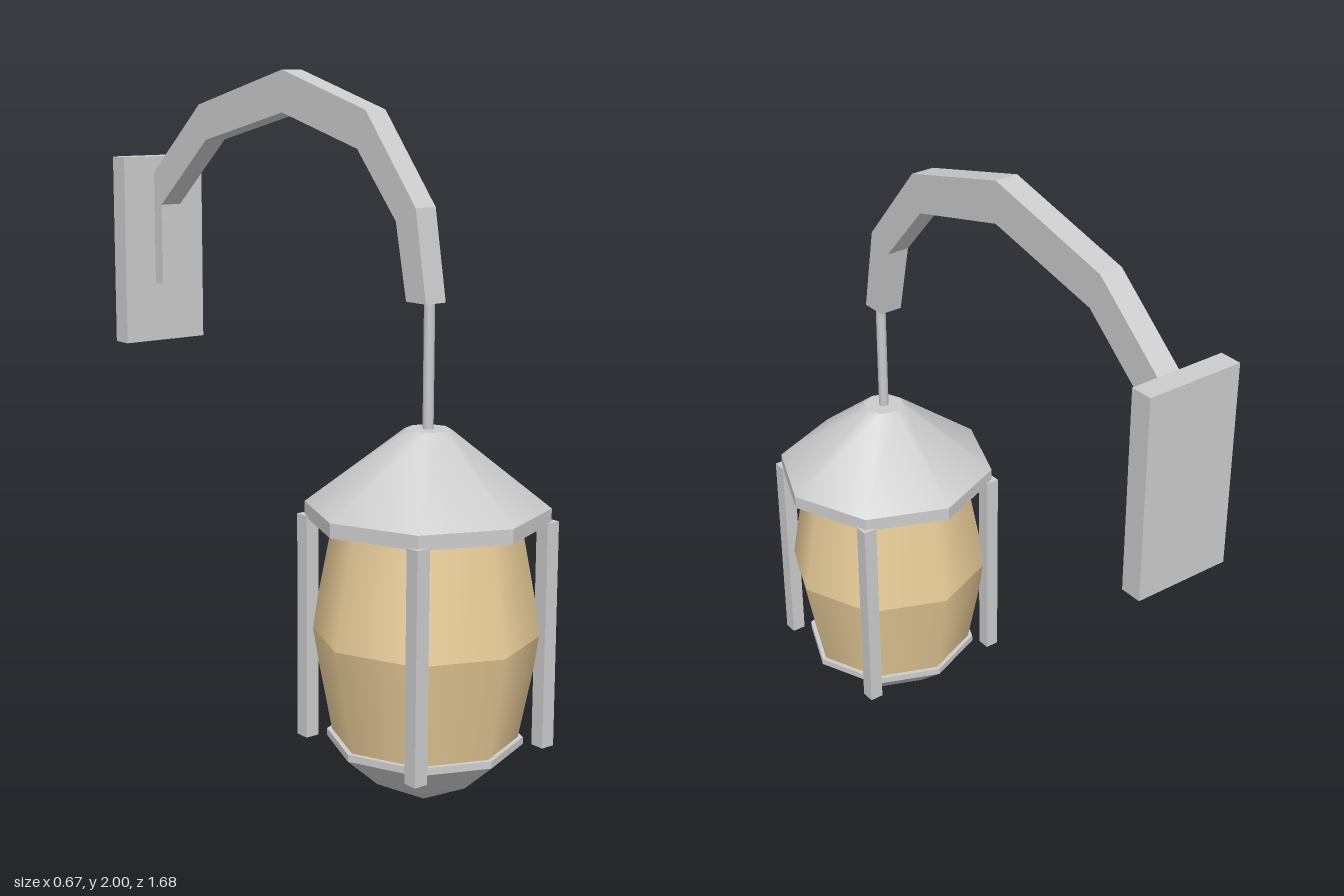
import * as THREE from 'three';

const grey = new THREE.MeshStandardMaterial({ color: 0xcccccc, side: THREE.DoubleSide });
const flatGrey = new THREE.MeshStandardMaterial({ color: 0xcccccc, flatShading: true, side: THREE.DoubleSide });
const amber = new THREE.MeshStandardMaterial({ color: 0xe8cc98, side: THREE.DoubleSide });

function add(parent, name, geometry, material, x = 0, y = 0, z = 0) {
  const mesh = new THREE.Mesh(geometry, material);
  mesh.name = name;
  mesh.position.set(x, y, z);
  parent.add(mesh);
  return mesh;
}

// Eight-sided open band from (r0, y0) up to (r1, y1), corners on the axes
function band(parent, name, material, r0, y0, r1, y1) {
  const geometry = new THREE.CylinderGeometry(r1, r0, y1 - y0, 8, 1, true);
  add(parent, name, geometry, material, 0, (y0 + y1) / 2, 0);
}

// Flat eight-sided ring or disc
function plate(parent, name, material, inner, outer, y, up) {
  const geometry = inner > 0
    ? new THREE.RingGeometry(inner, outer, 8)
    : new THREE.CircleGeometry(outer, 8);
  geometry.rotateX(up ? -Math.PI / 2 : Math.PI / 2);
  add(parent, name, geometry, material, 0, y, 0);
}

export function createModel() {
  const model = new THREE.Group();
  model.name = 'wallLantern';

  // Wall plate and the upright bar resting on it
  add(model, 'wallPlate', new THREE.BoxGeometry(0.29, 0.585, 0.065), flatGrey, 0, 1.4375, -0.8075);

  // Curved arm: side profile as (z, y), ending in the upright bar
  const profile = [
    [0.53, 1.395], [0.485, 1.645], [0.275, 1.895], [-0.1, 2], [-0.52, 1.895], [-0.775, 1.68],
    [-0.775, 1.33], [-0.735, 1.33], [-0.735, 1.58],
    [-0.485, 1.79], [-0.1, 1.88], [0.24, 1.79], [0.405, 1.605], [0.45, 1.395],
  ];
  const armShape = new THREE.Shape(profile.map(([z, y]) => new THREE.Vector2(-z, y)));
  const armGeometry = new THREE.ExtrudeGeometry(armShape, { depth: 0.07, bevelEnabled: false });
  armGeometry.translate(0, 0, -0.035).rotateY(Math.PI / 2);
  add(model, 'arm', armGeometry, flatGrey);

  // Lantern hanging from the arm
  const lantern = new THREE.Group();
  lantern.name = 'lantern';
  lantern.position.z = 0.505;
  model.add(lantern);

  add(lantern, 'hangingRod', new THREE.CylinderGeometry(0.015, 0.015, 0.37, 8), grey, 0, 1.225, 0);

  // Hollow roof with a short vertical rim
  band(lantern, 'roof', grey, 0.335, 0.845, 0.063, 1.055);
  plate(lantern, 'roofCap', flatGrey, 0, 0.063, 1.055, true);
  band(lantern, 'roofRim', flatGrey, 0.335, 0.805, 0.335, 0.845);
  plate(lantern, 'roofRimUnderside', flatGrey, 0.295, 0.335, 0.805, false);
  band(lantern, 'roofLining', flatGrey, 0.295, 0.805, 0.05, 1.02);

  // Bulging glass in two halves with a crease at the middle
  band(lantern, 'glassLower', amber, 0.255, 0.18, 0.315, 0.49);
  band(lantern, 'glassUpper', amber, 0.315, 0.49, 0.255, 0.805);
  plate(lantern, 'glassTop', amber, 0, 0.255, 0.805, true);

  // Base bowl with its rim
  plate(lantern, 'baseTop', flatGrey, 0, 0.272, 0.195, true);
  band(lantern, 'baseRim', flatGrey, 0.272, 0.175, 0.272, 0.195);
  band(lantern, 'baseBowl', grey, 0.168, 0.085, 0.272, 0.175);
  band(lantern, 'baseTip', grey, 0, 0, 0.168, 0.085);

  // Four corner posts
  for (const x of [-1, 1]) {
    for (const z of [-1, 1]) {
      add(lantern, 'cornerPost', new THREE.BoxGeometry(0.042, 0.635, 0.042), flatGrey, x * 0.23, 0.4925, z * 0.23);
    }
  }
  return model;
}
